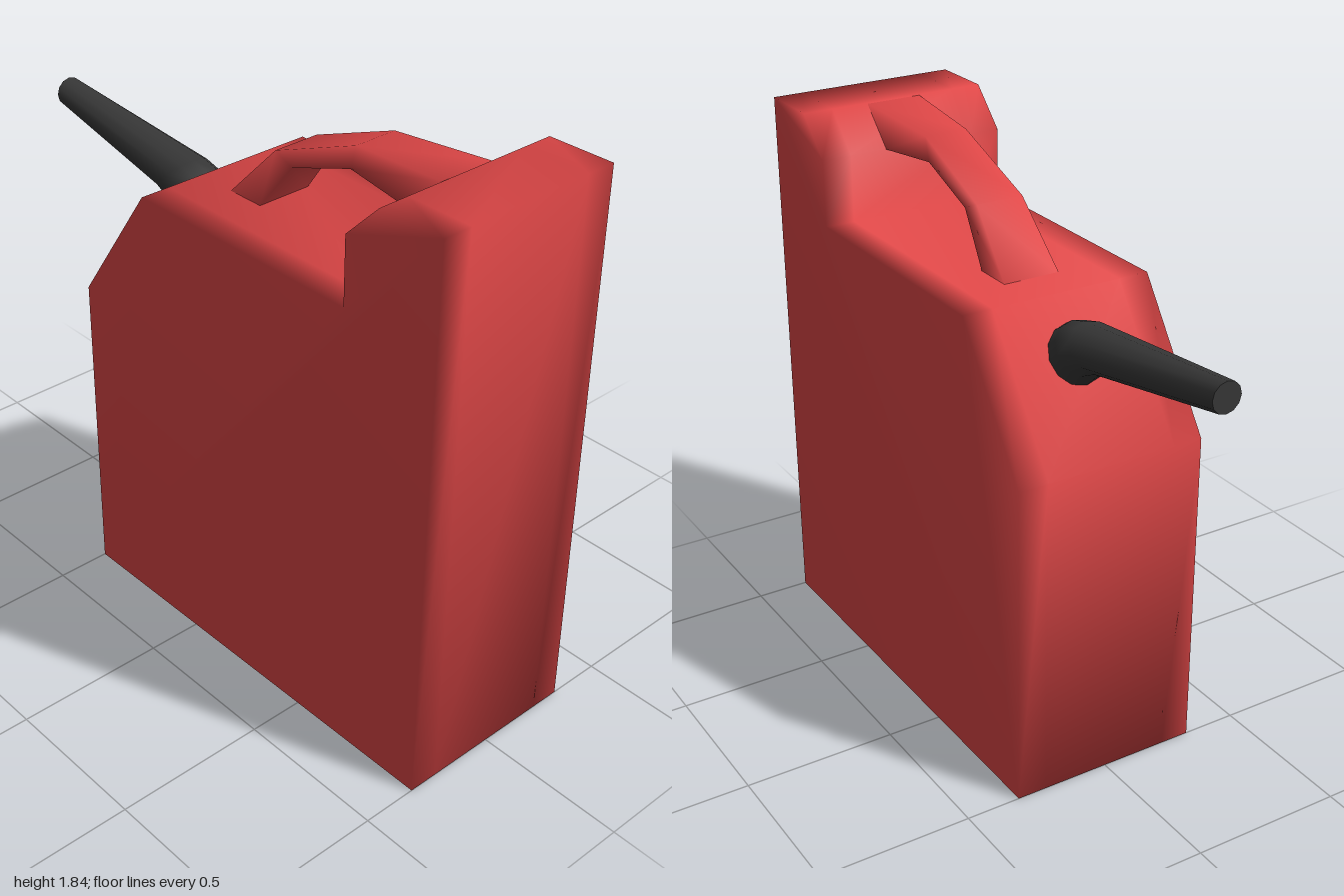
import * as THREE from 'three';
import { mergeVertices } from 'three/addons/utils/BufferGeometryUtils.js';

// Lofts a tube through sections [topX, topY, bottomX, bottomY, halfDepth], running from -x to +x.
function loft(sections, sides, phase = 0, stretch = 1) {
  const pos = [], index = [];
  for (const [tx, ty, bx, by, hz] of sections) {
    for (let i = 0; i < sides; i++) {
      const a = phase + (i / sides) * Math.PI * 2;
      const c = Math.cos(a) * stretch, s = Math.sin(a) * stretch;
      pos.push((tx + bx) / 2 + (c * (tx - bx)) / 2, (ty + by) / 2 + (c * (ty - by)) / 2, hz * s);
    }
  }
  for (let r = 0; r < sections.length - 1; r++) {
    for (let i = 0; i < sides; i++) {
      const a = r * sides + i, b = r * sides + ((i + 1) % sides);
      index.push(a, b, a + sides, b, b + sides, a + sides);
    }
  }
  const g = new THREE.BufferGeometry();
  g.setAttribute('position', new THREE.Float32BufferAttribute(pos, 3));
  g.setIndex(index);
  g.computeVertexNormals();
  return g;
}

// Side profile extruded across the width, with soft shading over its edges.
function tankGeometry() {
  const profile = [[-0.5, 0], [1, 0], [1, 1.84], [0.78, 1.84], [0.66, 1.72], [0.66, 1.5], [-0.2, 1.5], [-0.5, 1.07]];
  const shape = new THREE.Shape(profile.map(([x, y]) => new THREE.Vector2(x, y)));
  let g = new THREE.ExtrudeGeometry(shape, { depth: 3, steps: 3, bevelEnabled: false });
  const levels = [-0.32, -0.22, 0.22, 0.32];
  const p = g.attributes.position;
  for (let i = 0; i < p.count; i++) p.setZ(i, levels[Math.round(p.getZ(i))]);
  g.deleteAttribute('normal');
  g.deleteAttribute('uv');
  g.clearGroups();
  g = mergeVertices(g);
  g.computeVertexNormals();
  return g;
}

export function createModel() {
  const red = new THREE.MeshStandardMaterial({ color: 0xdf4747 });
  red.name = 'red plastic';
  const black = new THREE.MeshStandardMaterial({ color: 0x373737 });
  black.name = 'black plastic';

  const model = new THREE.Group();
  model.name = 'fuelCan';
  const add = (name, geometry, material) => {
    const mesh = new THREE.Mesh(geometry, material);
    mesh.name = name;
    model.add(mesh);
    return mesh;
  };

  // Tank with the tall rear column
  add('tank', tankGeometry(), red);

  // Four-sided carrying handle, slimmer in the middle
  add('handle', loft([
    [-0.06, 1.5, 0.07, 1.5, 0.095],
    [0.12, 1.69, 0.19, 1.66, 0.08],
    [0.44, 1.815, 0.42, 1.738, 0.073],
    [0.78, 1.838, 0.66, 1.718, 0.095],
  ], 4, Math.PI / 4, Math.SQRT2), red);

  // Tapered spout bending into the sloped shoulder
  add('spout', loft([
    [-1, 1.535, -1, 1.439, 0.048],
    [-0.35, 1.465, -0.47, 1.345, 0.09],
    [-0.28, 1.445, -0.41, 1.315, 0.095],
    [-0.21, 1.4, -0.33, 1.24, 0.095],
  ], 12), black);

  // Flat end of the spout
  const tip = add('spoutTip', new THREE.CircleGeometry(0.048, 12), black);
  tip.rotation.y = -Math.PI / 2;
  tip.position.set(-1, 1.487, 0);

  return model;
}
